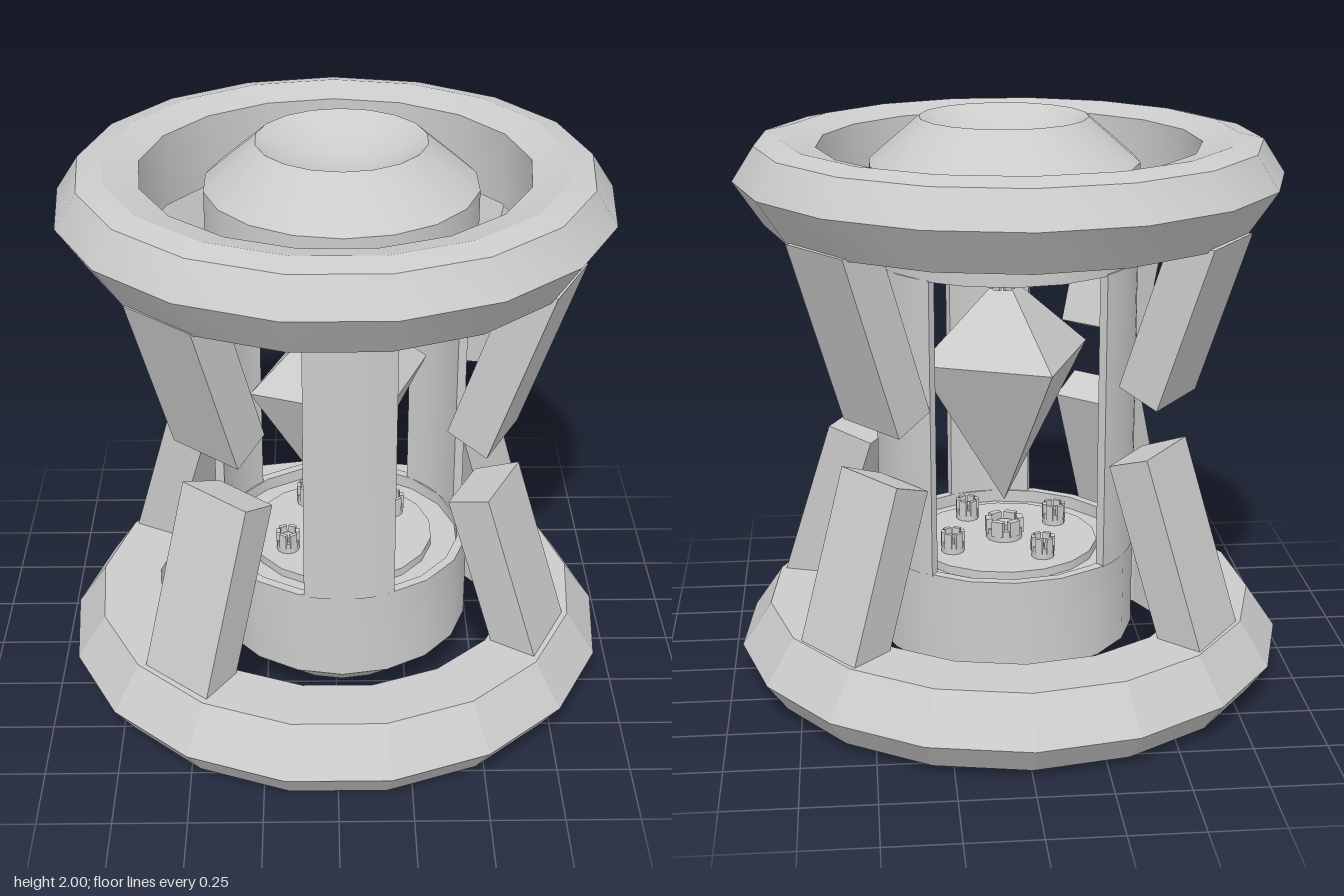
import * as THREE from 'three';
import { toCreasedNormals } from 'three/addons/utils/BufferGeometryUtils.js';

const deg = Math.PI / 180;

const material = new THREE.MeshStandardMaterial({ color: 0xcccccc });
const flatMaterial = new THREE.MeshStandardMaterial({ color: 0xcccccc, flatShading: true });

function addMesh(parent, name, geometry, mat = material) {
  const mesh = new THREE.Mesh(geometry, mat);
  mesh.name = name;
  parent.add(mesh);
  return mesh;
}

// Revolved profile of [radius, y] pairs, smooth around and sharp along the profile edges
function turned(profile, sides, crease = 0.55) {
  const points = profile.map(([r, y]) => new THREE.Vector2(r, y));
  return toCreasedNormals(new THREE.LatheGeometry(points, sides, Math.PI), crease);
}

// Leaning wedge-shaped arm: rooted on a ring, dir = 1 grows up, dir = -1 hangs down
function armGeometry(rootY, height, dir, azimuth) {
  const lean = 0.335;
  const geometry = new THREE.BoxGeometry(2, 2, 2);
  const p = geometry.attributes.position;
  for (let i = 0; i < p.count; i++) {
    const outer = p.getZ(i) > 0;
    const atEnd = p.getY(i) * dir > 0;
    const h = atEnd ? height - (outer ? 0 : 0.055) : -0.01;
    const r = (outer ? 0.83 : 0.66) - lean * h;
    p.setXYZ(i, p.getX(i) * (outer ? 0.145 : 0.122), rootY + dir * h, r);
  }
  geometry.rotateY(azimuth * deg);
  geometry.computeVertexNormals();
  return geometry;
}

// Curved upright plate following the chamber wall
function panelGeometry(azimuth) {
  const mid = (azimuth - 90) * deg, half = 20 * deg;
  const shape = new THREE.Shape();
  shape.absarc(0, 0, 0.457, mid - half, mid + half, false);
  shape.absarc(0, 0, 0.425, mid + half, mid - half, true);
  shape.closePath();
  const geometry = new THREE.ExtrudeGeometry(shape, { depth: 1.03, bevelEnabled: false, curveSegments: 4 });
  geometry.rotateX(-Math.PI / 2);
  geometry.translate(0, 0.5, 0);
  return toCreasedNormals(geometry, 0.55);
}

// Slotted nut: a low collar crowned with a circle of teeth
function crownNut(name, radius) {
  const nut = new THREE.Group();
  nut.name = name;
  addMesh(nut, 'collar', turned(
    [[radius, 0], [radius, 0.04], [radius * 0.6, 0.04], [radius * 0.5, 0.055], [0, 0.055]], 12));
  for (let i = 0; i < 6; i++) {
    const a = (i * 60 + 32) * deg;
    const tooth = addMesh(nut, 'tooth', new THREE.BoxGeometry(radius * 0.65, 0.055, radius * 0.35));
    tooth.position.set(Math.sin(a) * radius * 0.85, 0.0475, Math.cos(a) * radius * 0.85);
    tooth.rotation.y = a;
  }
  return nut;
}

// One large and four small nuts on an end plate
function fittings(name) {
  const group = new THREE.Group();
  group.name = name;
  group.add(crownNut('centreNut', 0.065));
  for (let i = 0; i < 4; i++) {
    const a = 32 * deg + i * Math.PI / 2;
    const nut = crownNut('smallNut', 0.04);
    nut.position.set(Math.sin(a) * 0.225, 0, Math.cos(a) * 0.225);
    group.add(nut);
  }
  return group;
}

export function createModel() {
  const model = new THREE.Group();
  model.name = 'crystalChamber';

  // Outer rings with upright inner walls
  const lowerRing = addMesh(model, 'lowerRing', turned([
    [0.65, 0.03], [0.78, 0], [0.89, 0.03], [0.965, 0.135], [0.86, 0.29], [0.65, 0.29], [0.65, 0.03],
  ], 17, 0.2));
  const upperRing = addMesh(model, 'upperRing', turned([
    [0.65, 1.655], [0.83, 1.655], [0.93, 1.805], [0.855, 1.92], [0.77, 1.94], [0.65, 1.91], [0.65, 1.655],
  ], 17, 0.4));
  lowerRing.position.z = upperRing.position.z = 0.007;

  // Broken arms: azimuth, lower length, upper length
  const arms = [[64, 0.58, 0.62], [128, 0.58, 0.62], [-126, 0.64, 0.55], [-41.5, 0.64, 0.55]];
  for (const [azimuth, lower, upper] of arms) {
    addMesh(model, 'lowerArm', armGeometry(0.29, lower, 1, azimuth));
    addMesh(model, 'upperArm', armGeometry(1.655, upper, -1, azimuth));
  }

  // Inner chamber: two dished caps joined by three curved panels
  const chamber = new THREE.Group();
  chamber.name = 'chamber';
  chamber.position.set(0.02, 0, -0.013);
  model.add(chamber);

  addMesh(chamber, 'lowerCap', turned([
    [0, 0.14], [0.08, 0.13], [0.15, 0.1], [0.205, 0.045], [0.285, 0.03], [0.458, 0.18], [0.458, 0.505],
    [0.425, 0.505], [0.425, 0.46], [0.33, 0.46], [0.33, 0.49], [0, 0.49],
  ], 18));
  addMesh(chamber, 'upperCap', turned([
    [0, 1.54], [0.33, 1.54], [0.33, 1.57], [0.425, 1.57], [0.425, 1.525], [0.458, 1.525],
    [0.458, 1.85], [0.285, 2], [0.2, 1.95], [0.1, 1.92], [0, 1.91],
  ], 18));
  for (const azimuth of [3, 123, 243]) addMesh(chamber, 'panel', panelGeometry(azimuth));

  const lowerFittings = fittings('lowerFittings');
  lowerFittings.position.y = 0.49;
  const upperFittings = fittings('upperFittings');
  upperFittings.position.y = 1.54;
  upperFittings.rotation.set(Math.PI, 64 * deg, 0);
  chamber.add(lowerFittings, upperFittings);

  // Floating four-sided crystal
  const crystal = addMesh(model, 'crystal', new THREE.LatheGeometry(
    [new THREE.Vector2(0, 0.61), new THREE.Vector2(0.335, 1.16), new THREE.Vector2(0, 1.45)],
    4, 24 * deg), flatMaterial);
  crystal.position.set(0.015, 0, 0.04);

  return model;
}
